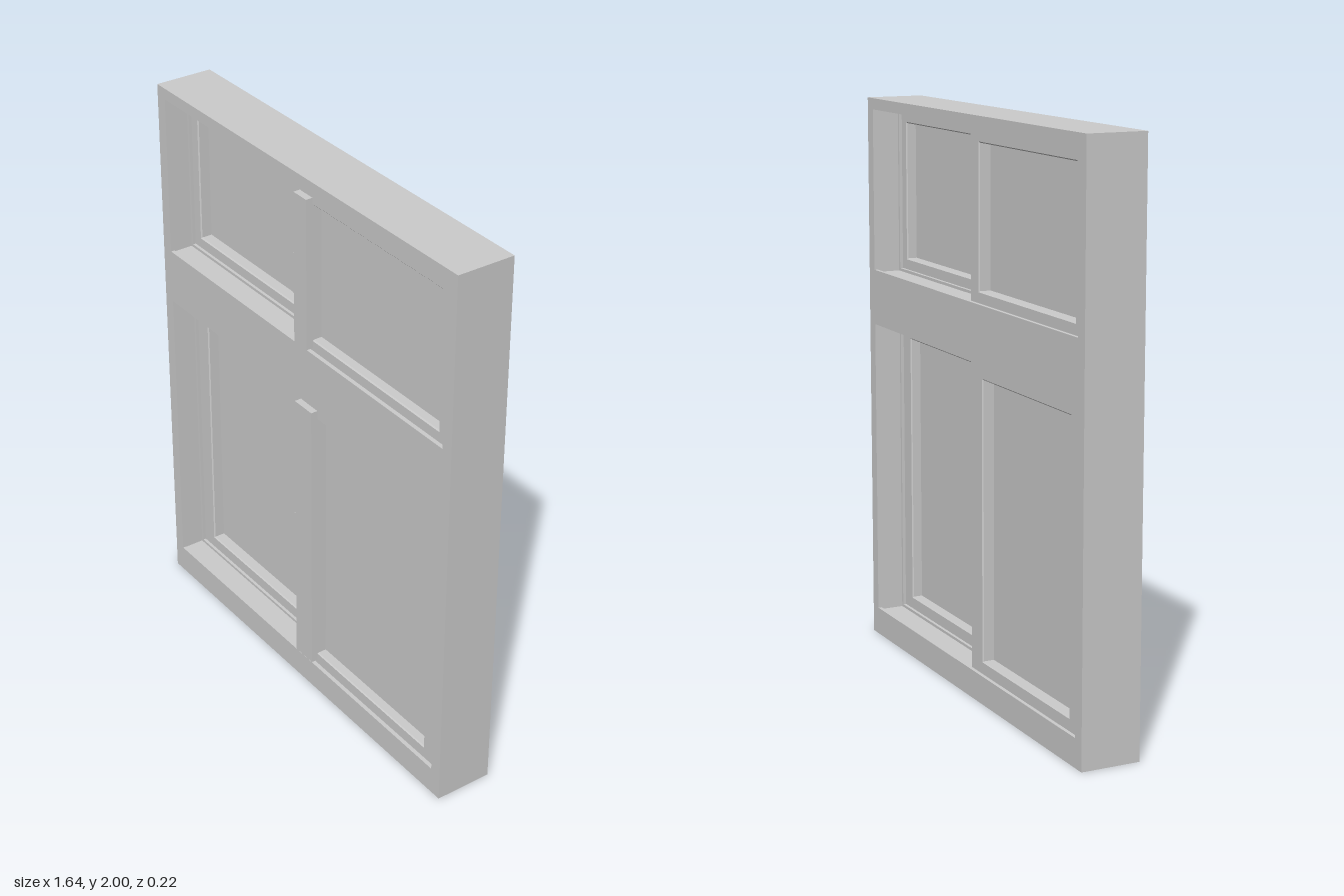
import * as THREE from 'three';

const material = new THREE.MeshStandardMaterial({ color: 0xcccccc, flatShading: true });
const smooth = new THREE.MeshStandardMaterial({ color: 0xcccccc });

function add(parent, name, geometry, x = 0, y = 0, z = 0, mat = material) {
  const mesh = new THREE.Mesh(geometry, mat);
  mesh.name = name;
  mesh.position.set(x, y, z);
  parent.add(mesh);
  return mesh;
}

// Box given by its limits on each axis
function block(parent, name, [x0, x1], [y0, y1], [z0, z1]) {
  return add(parent, name, new THREE.BoxGeometry(x1 - x0, y1 - y0, z1 - z0),
    (x0 + x1) / 2, (y0 + y1) / 2, (z0 + z1) / 2);
}

function trace(path, [x0, x1], [y0, y1]) {
  path.moveTo(x0, y0);
  path.lineTo(x1, y0);
  path.lineTo(x1, y1);
  path.lineTo(x0, y1);
  path.closePath();
  return path;
}

// Flat rectangle with rectangular holes, extruded between two depths
function panel(parent, name, xs, ys, holes, [z0, z1], bevel = 0) {
  const shape = trace(new THREE.Shape(), xs, ys);
  for (const [hx, hy] of holes) shape.holes.push(trace(new THREE.Path(), hx, hy));
  const geometry = new THREE.ExtrudeGeometry(shape, {
    depth: z1 - z0 - 2 * bevel, bevelEnabled: bevel > 0,
    bevelThickness: bevel, bevelSize: bevel, bevelOffset: -bevel, bevelSegments: 1,
  });
  return add(parent, name, geometry, 0, 0, z0 + bevel);
}

// Lever handle fixed to the side of the meeting stile
function handle(parent, name, y) {
  const group = new THREE.Group();
  group.name = name;
  group.position.set(0, y, 0.055);
  parent.add(group);

  const plate = new THREE.Shape();
  plate.moveTo(0, -0.08);
  plate.lineTo(-0.012, -0.075);
  plate.quadraticCurveTo(-0.028, 0, -0.012, 0.075);
  plate.lineTo(0, 0.08);
  add(group, 'handlePlate', new THREE.ExtrudeGeometry(plate, { depth: 0.03, bevelEnabled: false }), 0, 0, -0.015);

  const hub = add(group, 'handleHub', new THREE.CylinderGeometry(0.013, 0.015, 0.035, 16), -0.035, 0.008, 0, smooth);
  hub.rotation.z = Math.PI / 2;

  const lever = new THREE.Shape();
  lever.moveTo(-0.04, 0.028);
  lever.lineTo(-0.04, -0.012);
  lever.quadraticCurveTo(-0.058, -0.02, -0.058, -0.06);
  lever.lineTo(-0.06, -0.138);
  lever.lineTo(-0.072, -0.138);
  lever.quadraticCurveTo(-0.083, -0.05, -0.073, 0.008);
  lever.quadraticCurveTo(-0.055, 0.012, -0.04, 0.028);
  add(group, 'handleLever', new THREE.ExtrudeGeometry(lever, { depth: 0.022, bevelEnabled: false, curveSegments: 8 }), 0, 0, -0.011);
}

export function createModel() {
  const model = new THREE.Group();
  model.name = 'slidingWindow';

  const bays = [
    { name: 'upper', open: [1.38, 1.96], glass: [1.42, 1.91], post: [1.39, 1.935],
      postWidth: 0.07, rearStile: 0.065, side: 0.735, handleY: 1.665 },
    { name: 'lower', open: [0.1, 1.18], glass: [0.145, 1.125], post: [0.115, 1.16],
      postWidth: 0.095, rearStile: 0.09, side: 0.71, handleY: 0.64 },
  ];

  // Outer frame: front and back lips and a middle rib with sash channels between
  const layers = [
    ['backLip', -0.11, -0.097, 0], ['rearChannel', -0.097, -0.008, 0.01],
    ['middleRib', -0.008, 0.008, 0], ['frontChannel', 0.008, 0.085, 0.01],
    ['frontLip', 0.085, 0.1, 0],
  ];
  const frame = new THREE.Group();
  frame.name = 'frame';
  model.add(frame);
  for (const [name, z0, z1, grow] of layers) {
    const holes = bays.map(({ open: [y0, y1] }) =>
      [[-0.775 - grow, 0.775 + grow], [y0 - grow, y1 + grow]]);
    panel(frame, name, [-0.82, 0.82], [0, 2], holes, [z0, z1]);
  }

  // Each bay has a rear sash on one half and a front sash on the other
  for (const bay of bays) {
    const group = new THREE.Group();
    group.name = bay.name + 'Sashes';
    model.add(group);
    const ys = [bay.open[0] - 0.005, bay.open[1] + 0.005];
    const rearX = [-bay.side, -bay.rearStile];
    const frontX = [bay.postWidth, bay.side];

    panel(group, 'rearSash', [-0.78, 0], ys, [[rearX, bay.glass]], [-0.097, -0.003], 0.004);
    block(group, 'rearGlass', [rearX[0] - 0.005, rearX[1] + 0.005],
      [bay.glass[0] - 0.005, bay.glass[1] + 0.005], [-0.055, -0.045]);

    panel(group, 'frontSash', [0, 0.78], ys, [[frontX, bay.glass]], [0.003, 0.085], 0.004);
    block(group, 'frontGlass', [frontX[0] - 0.005, frontX[1] + 0.005],
      [bay.glass[0] - 0.005, bay.glass[1] + 0.005], [0.04, 0.05]);

    block(group, 'meetingStile', [0, bay.postWidth], bay.post, [0.01, 0.11]);
    handle(group, 'handle', bay.handleY);
  }
  return model;
}
